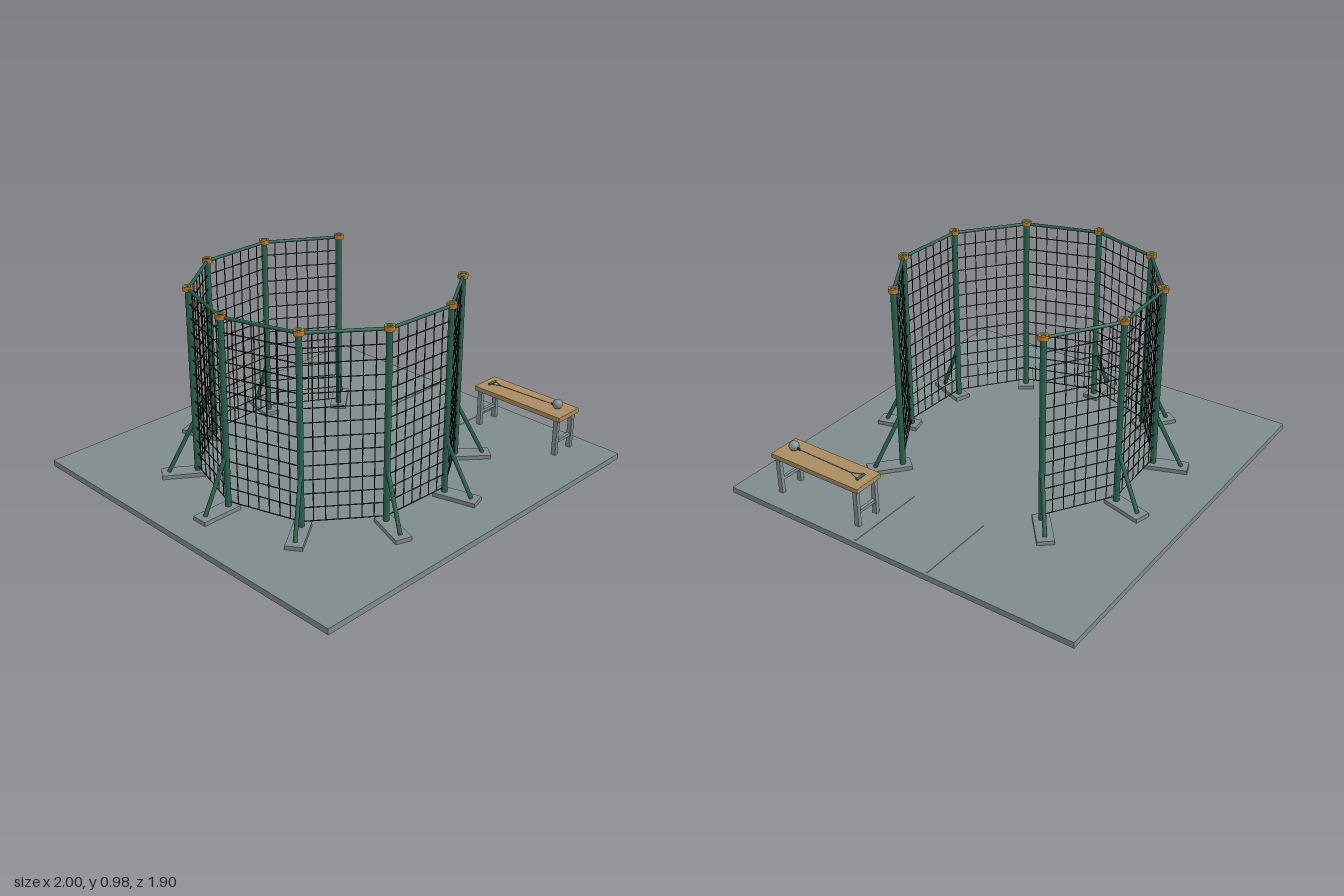
import * as THREE from 'three';

const mat = (name, color) => {
  const m = new THREE.MeshStandardMaterial({ color });
  m.name = name;
  return m;
};

export function createModel() {
  const concrete = mat('concrete grey', 0x7f8c8a);
  const green = mat('post green', 0x2a6450);
  const orange = mat('cap orange', 0xc17a28);
  const netBlack = mat('net black', 0x1c2222);
  const wood = mat('bench wood', 0xa98c60);
  const steel = mat('steel grey', 0x82908f);

  const model = new THREE.Group();
  model.name = 'throwingCage';
  const V = (x, y, z) => new THREE.Vector3(x, y, z);

  const add = (parent, name, geometry, material, x = 0, y = 0, z = 0) => {
    const mesh = new THREE.Mesh(geometry, material);
    mesh.name = name;
    mesh.position.set(x, y, z);
    parent.add(mesh);
    return mesh;
  };
  const box = (parent, name, material, w, h, d, x, y, z) =>
    add(parent, name, new THREE.BoxGeometry(w, h, d), material, x, y, z);
  // Round bar between two points
  const bar = (parent, name, material, a, b, r, sides = 10) => {
    const dir = b.clone().sub(a);
    const mesh = add(parent, name, new THREE.CylinderGeometry(r, r, dir.length(), sides), material);
    mesh.position.copy(a).add(b).multiplyScalar(0.5);
    mesh.quaternion.setFromUnitVectors(V(0, 1, 0), dir.normalize());
    return mesh;
  };

  // Ground slab and thin sector lines
  box(model, 'groundSlab', concrete, 2, 0.03, 1.9, 0, 0.015, 0);
  for (const s of [-1, 1]) box(model, 'sectorLine', concrete, 0.41, 0.003, 0.008, 0.78, 0.0315, s * 0.2);

  // Posts on an arc, each with foot, brace and cap
  const cx = -0.07, radius = 0.625, posts = [];
  for (let i = 0; i < 9; i++) {
    const a = THREE.MathUtils.degToRad(40 + 35 * i);
    const p = V(cx + radius * Math.cos(a), 0, -radius * Math.sin(a));
    posts.push(p);
    const post = new THREE.Group();
    post.name = 'postAssembly';
    post.position.copy(p);
    post.rotation.y = a; // local +x points outward
    model.add(post);
    box(post, 'foot', concrete, 0.21, 0.02, 0.08, 0.065, 0.04, 0);
    bar(post, 'post', green, V(0, 0.05, 0), V(0, 0.981, 0), 0.0145, 14);
    bar(post, 'brace', green, V(0.008, 0.3, 0), V(0.135, 0.05, 0), 0.01);
    bar(post, 'cap', orange, V(0, 0.957, 0), V(0, 0.98, 0), 0.024, 14);
  }

  // Net panels with a top rail between neighbouring posts
  const bottom = 0.072, top = 0.965, rows = 13, columns = 7;
  for (let i = 0; i < 8; i++) {
    const a = posts[i], b = posts[i + 1];
    const panel = new THREE.Group();
    panel.name = 'netPanel';
    model.add(panel);
    bar(panel, 'topRail', green, a.clone().setY(top), b.clone().setY(top), 0.008);
    for (let r = 0; r < rows; r++) {
      const y = bottom + (top - bottom) * r / rows;
      bar(panel, 'netRow', netBlack, a.clone().setY(y), b.clone().setY(y), 0.0028, 6);
    }
    for (let c = 1; c < columns; c++) {
      const p = a.clone().lerp(b, c / columns);
      bar(panel, 'netColumn', netBlack, p.clone().setY(bottom), p.clone().setY(top), 0.0026, 6);
    }
  }

  // Bench
  const bench = new THREE.Group();
  bench.name = 'bench';
  bench.position.set(0.832, 0, 0.497);
  model.add(bench);
  box(bench, 'benchTop', wood, 0.16, 0.024, 0.52, 0, 0.23, 0);
  for (const sz of [-1, 1]) {
    for (const sx of [-1, 1])
      box(bench, 'benchLeg', steel, 0.02, 0.188, 0.024, sx * 0.061, 0.124, sz * 0.234);
    box(bench, 'benchCrossbar', steel, 0.11, 0.016, 0.016, 0, 0.1, sz * 0.234);
  }

  // Throwing hammer lying on the bench
  add(bench, 'hammerBall', new THREE.SphereGeometry(0.025, 24, 16), steel, 0, 0.267, 0.19);
  bar(bench, 'hammerSwivel', netBlack, V(0, 0.258, 0.155), V(0, 0.262, 0.17), 0.006);
  bar(bench, 'hammerWire', steel, V(0, 0.258, 0.16), V(0, 0.25, -0.155), 0.0018, 6);
  for (const s of [-1, 1])
    bar(bench, 'hammerHandleSide', steel, V(0, 0.25, -0.155), V(s * 0.022, 0.25, -0.21), 0.0015, 6);
  bar(bench, 'hammerGrip', green, V(-0.026, 0.249, -0.212), V(0.026, 0.249, -0.212), 0.006);

  return model;
}
